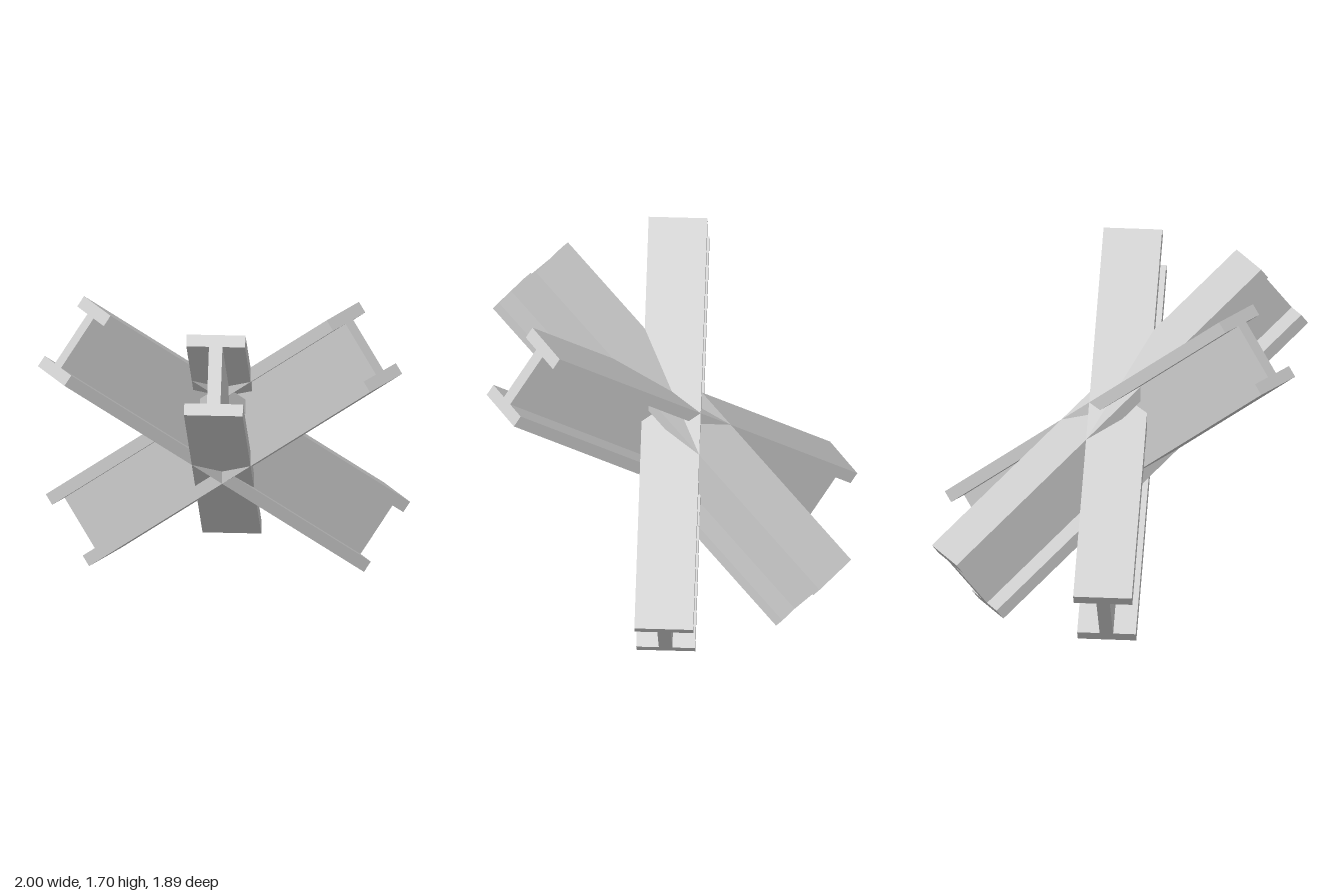
import * as THREE from 'three';

const LENGTH = 2.2, HEIGHT = 0.434, WIDTH = 0.304, FLANGE = 0.064, WEB = 0.07;
const TILT = Math.atan2(1.35, 1.73);

// I-beam cross-section, extruded along z and centred
function beamGeometry() {
  const w = WIDTH / 2, h = HEIGHT / 2, t = WEB / 2, f = h - FLANGE;
  const half = [[w, -h], [w, -f], [t, -f], [t, f], [w, f], [w, h]];
  const mirrored = half.map(([x, y]) => [-x, -y]);
  const shape = new THREE.Shape([...half, ...mirrored].map(([x, y]) => new THREE.Vector2(x, y)));
  const geometry = new THREE.ExtrudeGeometry(shape, { depth: LENGTH, bevelEnabled: false });
  return geometry.translate(0, 0, -LENGTH / 2);
}

export function createModel() {
  const model = new THREE.Group();
  model.name = 'crossedBeamBarrier';
  const material = new THREE.MeshStandardMaterial({ color: 0xcccccc, flatShading: true });
  const geometry = beamGeometry();

  // Three tilted beams crossing at the centre; angle gives the heading of the raised end
  const headings = { sideBeam: -90, leftFrontBeam: 30, rightFrontBeam: -30 };
  for (const [name, angle] of Object.entries(headings)) {
    const beam = new THREE.Mesh(geometry, material);
    beam.name = name;
    beam.position.y = 0.848;
    beam.rotation.set(-TILT, THREE.MathUtils.degToRad(angle), 0, 'YXZ');
    model.add(beam);
  }
  return model;
}
